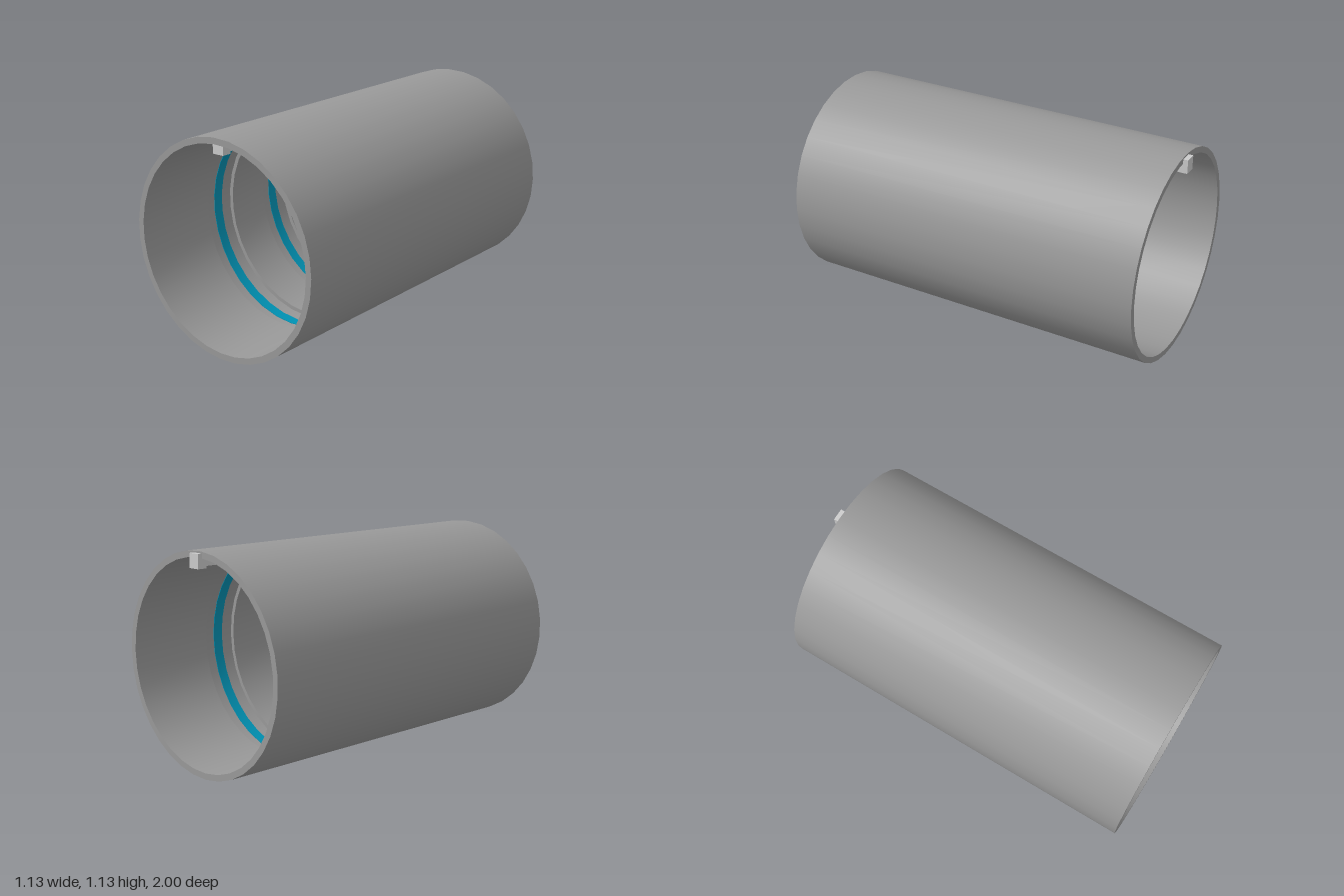
import * as THREE from 'three';
import { toCreasedNormals } from 'three/addons/utils/BufferGeometryUtils.js';

const SIDES = 35;
const OUTER = 0.565, INNER = 0.533, FLOOR = 0.554;
const FRONT = 1, BACK = -0.975, CENTER_Y = 0.5645;
const GROOVES = [0.445, 0.0125, -0.42];
const HALF_GROOVE = 0.095, HALF_STRIP = 0.028;

// Turn a closed [radius, z] profile about the tube's long axis
function ringGeometry(profile) {
  const points = profile.map(([r, z]) => new THREE.Vector2(r, z));
  points.push(points[0].clone());
  const geometry = new THREE.LatheGeometry(points, SIDES);
  geometry.rotateX(Math.PI / 2).rotateZ(Math.PI / 2);
  return toCreasedNormals(geometry, 0.5);
}

export function createModel() {
  const model = new THREE.Group();
  model.name = 'lightTube';
  const lightGrey = new THREE.MeshStandardMaterial({ color: 0xcccccc });
  const darkGrey = new THREE.MeshStandardMaterial({ color: 0x999999 });
  const teal = new THREE.MeshStandardMaterial({ color: 0x0093b5 });

  const add = (name, geometry, material, x, y, z) => {
    const mesh = new THREE.Mesh(geometry, material);
    mesh.name = name;
    mesh.position.set(x, y, z);
    model.add(mesh);
  };

  // Tube wall with recessed grooves on the inside
  const wall = [[OUTER, BACK], [OUTER, FRONT], [INNER, FRONT]];
  for (const z of GROOVES) {
    wall.push(
      [INNER, z + HALF_GROOVE], [FLOOR, z + HALF_GROOVE],
      [FLOOR, z - HALF_GROOVE], [INNER, z - HALF_GROOVE]
    );
  }
  wall.push([INNER, BACK]);
  add('tubeWall', ringGeometry(wall), darkGrey, -0.001, CENTER_Y, 0);

  // Coloured strip around the floor of each groove
  const strip = ringGeometry([
    [FLOOR + 0.002, -HALF_STRIP], [FLOOR + 0.002, HALF_STRIP],
    [FLOOR - 0.003, HALF_STRIP], [FLOOR - 0.003, -HALF_STRIP]
  ]);
  for (const z of GROOVES) add('lightStrip', strip, teal, -0.001, CENTER_Y, z);

  // Pair of slim rails under the roof, carried by evenly spaced blocks
  const railX = -0.004;
  const rail = new THREE.BoxGeometry(0.022, 0.045, 1.95);
  for (const side of [-1, 1]) {
    add('rail', rail, lightGrey, railX + side * 0.02, 1.08, -0.005);
  }
  const block = new THREE.BoxGeometry(0.065, 0.073, 0.05);
  for (let i = 0; i < 5; i++) {
    add('railBlock', block, lightGrey, railX, 1.0825, -0.975 + i * 0.485);
  }

  return model;
}
